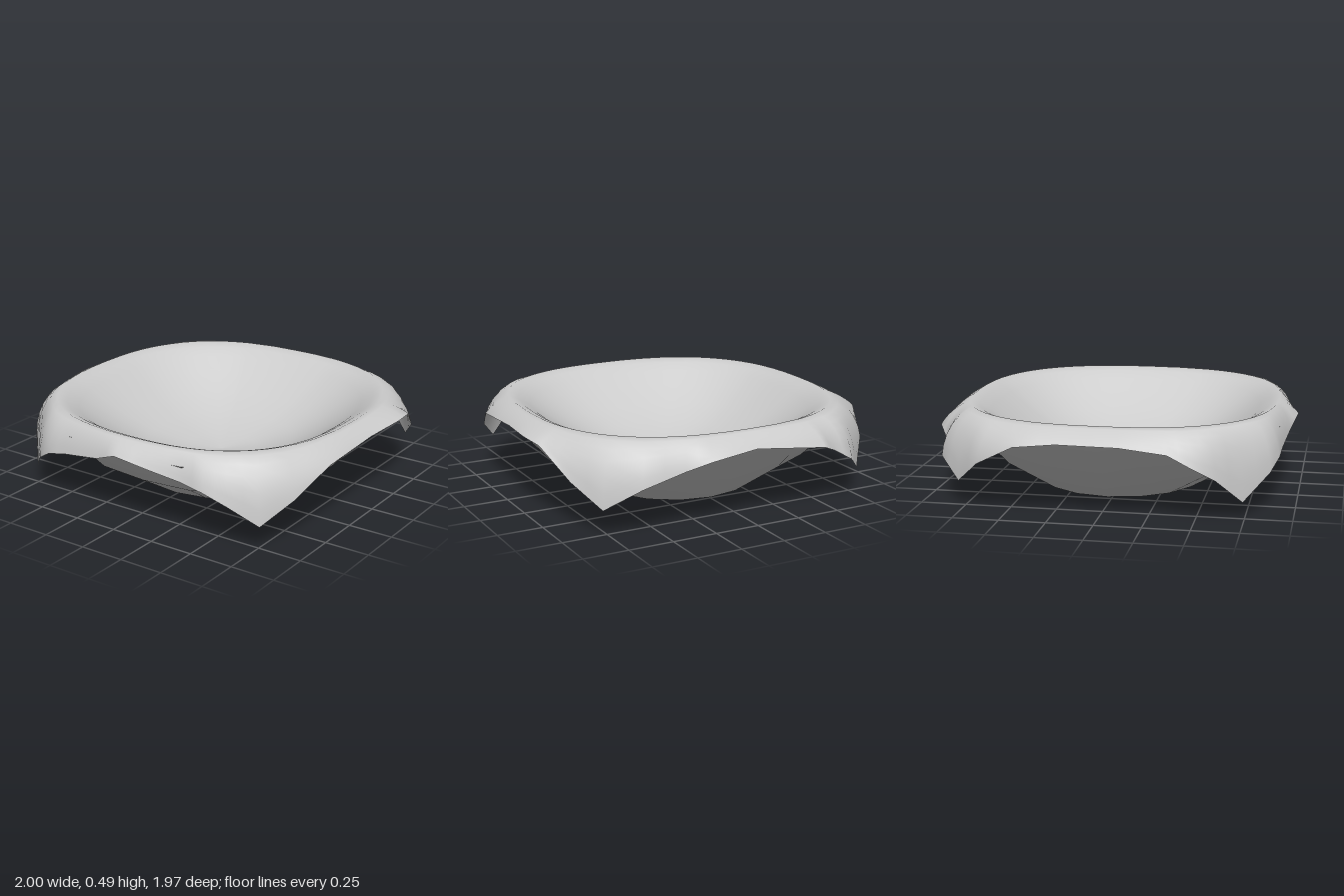
import * as THREE from 'three';

// Hem of the cloth: x, y, z, going round from the front middle towards +x
const HEM = [
  [0, .41, .98], [.2, .37, .95], [.38, .33, .91], [.52, .31, .92], [.64, .25, .88],
  [.78, .14, .79], [.89, .26, .64], [.96, .39, .41], [.975, .42, 0], [1, .43, -.27],
  [.98, .42, -.43], [.9, .27, -.64], [.79, .145, -.79], [.62, .26, -.9], [.39, .33, -.93],
  [.27, .38, -.99], [0, .41, -.98], [-.42, .36, -.985], [-.53, .31, -.92], [-.65, .24, -.91],
  [-.78, .14, -.78], [-.9, .27, -.64], [-1, .39, -.42], [-.985, .41, -.2], [-1, .41, .13],
  [-.95, .37, .37], [-.94, .3, .5], [-.88, .23, .61], [-.76, .09, .74], [-.62, .22, .87],
  [-.52, .28, .91], [-.4, .31, .92], [-.15, .35, .945],
];
const CREST_Y = 0.49;
const SHOULDER_STEPS = 6;
const BASKET_SIDES = 16;
// Sagging inside of the cloth: fraction of crest radius, height
const SAG = [[.94, .468], [.87, .43], [.78, .37], [.62, .28], [.45, .205], [.22, .145], [0, .125]];

// Crest radius in a direction: a softly squared circle
function crestRadius(angle) {
  const n = 2.5;
  const c = Math.abs(Math.cos(angle)) ** n, s = Math.abs(Math.sin(angle)) ** n;
  return 0.87 / (c + s) ** (1 / n);
}

const polar = (angle, r, y) => [Math.sin(angle) * r, y, Math.cos(angle) * r];

// Closed smooth skin through columns of points standing side by side
function loft(columns) {
  const index = [], rows = columns[0].length;
  columns.forEach((column, j) => {
    const here = j * rows, next = ((j + 1) % columns.length) * rows;
    for (let i = 0; i < rows - 1; i++) {
      index.push(here + i, next + i, here + i + 1, next + i, next + i + 1, here + i + 1);
    }
  });
  const geometry = new THREE.BufferGeometry();
  geometry.setAttribute('position', new THREE.Float32BufferAttribute(columns.flat(2), 3));
  geometry.setIndex(index);
  geometry.computeVertexNormals();
  return geometry;
}

// One strip of cloth from hem, over the rim, down to the middle
function clothColumn([x, y, z]) {
  const angle = Math.atan2(x, z);
  const hemR = Math.hypot(x, z), crestR = crestRadius(angle);
  const drop = CREST_Y - y;
  const bend = Math.min(1, drop / 0.3); // long corners hang round, short sides slope straight
  const column = [];
  for (let i = SHOULDER_STEPS; i >= 0; i--) {
    const t = i / SHOULDER_STEPS, a = t * Math.PI / 2;
    const out = THREE.MathUtils.lerp(t, Math.sin(a), bend);
    const down = THREE.MathUtils.lerp(t, 1 - Math.cos(a), bend);
    column.push(polar(angle, crestR + (hemR - crestR) * out, CREST_Y - drop * down));
  }
  SAG.forEach(([f, h]) => column.push(polar(angle, crestR * f, h)));
  return column;
}

export function createModel() {
  const model = new THREE.Group();
  const material = new THREE.MeshStandardMaterial({ color: 0xcccccc, side: THREE.DoubleSide });
  const add = (name, geometry) => {
    const mesh = new THREE.Mesh(geometry, material);
    mesh.name = name;
    model.add(mesh);
  };

  // Flared basket: round, slightly off-centre base, softly squared rim
  const angles = Array.from({ length: BASKET_SIDES }, (_, i) => (i / BASKET_SIDES) * Math.PI * 2);
  const basePoint = (angle) => {
    const [x, y, z] = polar(angle, 0.46, 0);
    return [x - 0.01, y, z - 0.03];
  };
  add('basketWall', loft(angles.map((a) => {
    const rim = crestRadius(a) * 1.075;
    return [basePoint(a), polar(a, rim * 0.79, 0.19), polar(a, rim, 0.41)];
  })));
  add('basketBase', loft(angles.map((a) => [[-0.01, 0, -0.03], basePoint(a)])));

  // Square cloth sagging inside and draped over the rim, each hem edge split in two
  const hem = HEM.flatMap((p, i) => {
    const q = HEM[(i + 1) % HEM.length];
    return [p, p.map((v, k) => (v + q[k]) / 2)];
  });
  add('clothLiner', loft(hem.map(clothColumn)));
  return model;
}
